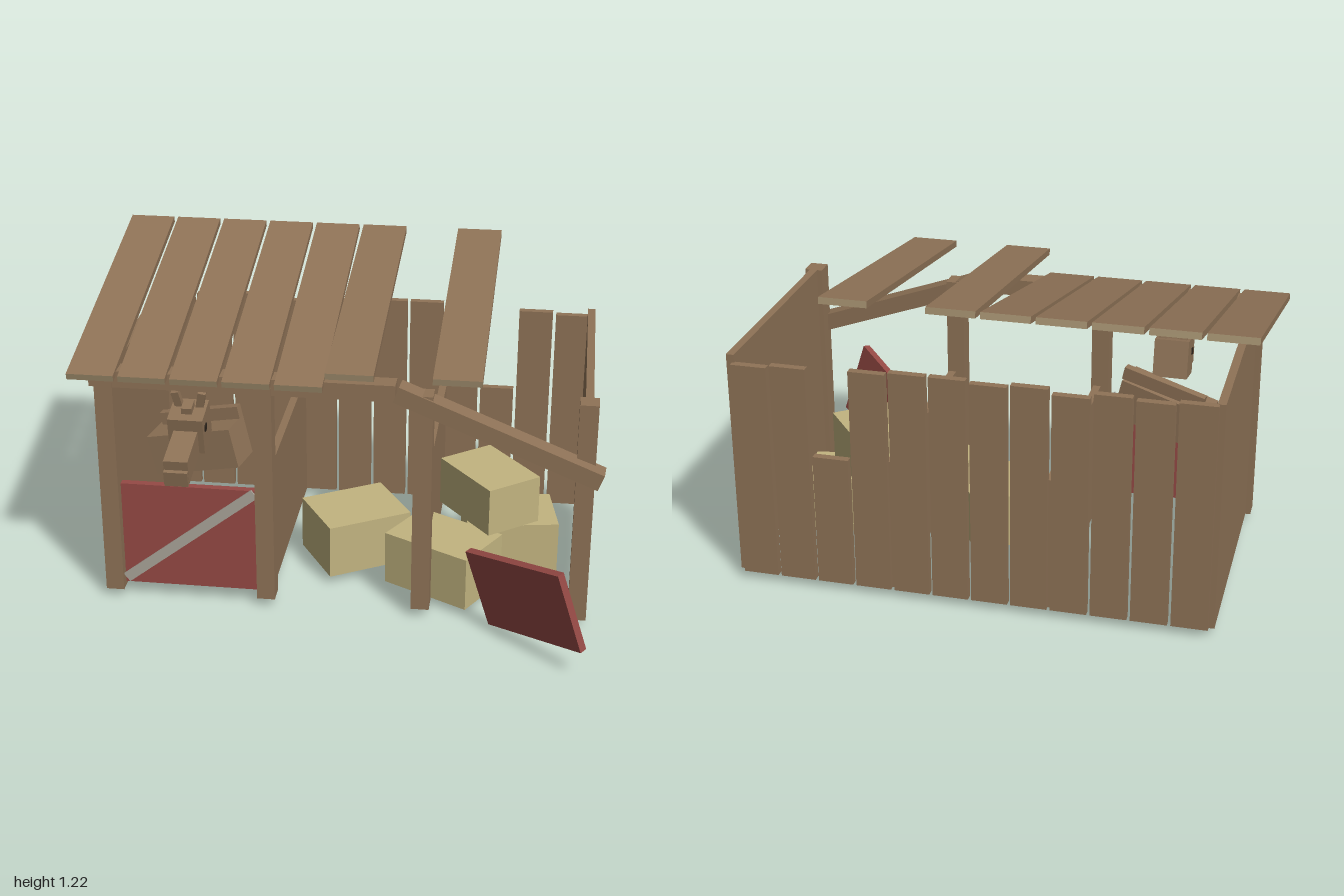
import * as THREE from 'three';

const mat = (name, color) => {
  const m = new THREE.MeshStandardMaterial({ color });
  m.name = name;
  return m;
};

export function createModel() {
  const model = new THREE.Group();
  model.name = 'stable';
  const wood = mat('wood', 0x8f7357);
  const cutWood = mat('cutWood', 0xa3906f);
  const red = mat('redPaint', 0x964a45);
  const hay = mat('hay', 0xc2b480);
  const metal = mat('paleBrace', 0xaaa59a);
  const dark = mat('darkEye', 0x2c241c);

  // Box by centre and size
  const box = (name, m, [x, y, z], [w, h, d], parent = model) => {
    const mesh = new THREE.Mesh(new THREE.BoxGeometry(w, h, d), m);
    mesh.name = name;
    mesh.position.set(x, y, z);
    parent.add(mesh);
    return mesh;
  };
  // Box running lengthwise (its z) from point a to point b
  const beam = (name, m, a, b, w, h, parent = model) => {
    const p = new THREE.Vector3(...a), q = new THREE.Vector3(...b);
    const mid = p.clone().add(q).multiplyScalar(0.5);
    const mesh = box(name, m, mid.toArray(), [w, h, p.distanceTo(q)], parent);
    mesh.lookAt(q);
    return mesh;
  };
  const endGrain = [wood, wood, wood, wood, cutWood, cutWood];

  // Front posts
  for (const x of [-0.875, -0.275, 0.325, 0.925]) {
    box('post', wood, [x, 0.483, 0.312], [0.07, 0.896, 0.075]);
  }

  // Side walls and low partitions
  for (const x of [-0.875, 0.925]) {
    box('sideWall', wood, [x, 0.483, -0.17], [0.03, 0.896, 0.9]);
  }
  for (const x of [-0.275, 0.325]) {
    box('partition', wood, [x, 0.3, -0.2], [0.03, 0.53, 0.84]);
  }

  // Back wall planks, one broken off short
  const tops = [0.93, 0.92, 0.93, 0.91, 0.93, 0.92, 0.93, 0.93, 0.92, 0.56, 0.91, 0.9];
  tops.forEach((top, i) => {
    box('backPlank', wood, [-0.8 + i * 0.15, (top + 0.035) / 2, -0.625], [0.137, top - 0.035, 0.03]);
  });

  // Front lintel and its fallen half
  box('lintel', wood, [-0.355, 0.933, 0.308], [1.15, 0.065, 0.075]);
  beam('brokenLintel', endGrain, [0.225, 0.932, 0.312], [0.985, 0.648, 0.367], 0.075, 0.066);

  // Roof planks: five in place, two lifted
  for (let i = 0; i < 8; i++) {
    if (i === 6) continue;
    const x = -0.912 + i * 0.195;
    if (i < 5) beam('roofPlank', endGrain, [x, 1.212, -0.703], [x, 0.953, 0.387], 0.178, 0.025);
    else beam('loosePlank', endGrain, [x, 1.212, -0.703], [x, 1.033, 0.445], 0.178, 0.025);
  }

  // Closed stall door with diagonal brace
  box('stallDoor', red, [-0.573, 0.275, 0.31], [0.525, 0.43, 0.03]);
  beam('doorBrace', metal, [-0.83, 0.08, 0.329], [-0.315, 0.48, 0.329], 0.008, 0.04);

  // Fallen door, set on its own tilted axes
  const u = new THREE.Vector3(0.345, 0.11, 0.335).normalize();
  const n = u.clone().cross(new THREE.Vector3(-0.095, 0.31, 0)).normalize();
  const v = n.clone().cross(u);
  const fallen = box('fallenDoor', red, [0.728, 0.215, 0.527], [0.5, 0.324, 0.03]);
  fallen.quaternion.setFromRotationMatrix(new THREE.Matrix4().makeBasis(u, v, n));

  // Hay bales: x, y, z, length, depth, turn
  const bales = [
    [0.025, 0.145, -0.065, 0.35, 0.29, 0.54],
    [0.395, 0.142, 0.125, 0.376, 0.26, -0.5],
    [0.64, 0.142, -0.11, 0.36, 0.265, 0.17],
    [0.557, 0.347, -0.09, 0.34, 0.24, -0.9],
  ];
  for (const [x, y, z, l, d, turn] of bales) {
    box('hayBale', hay, [x, y, z], [l, y > 0.3 ? 0.195 : 0.216, d]).rotation.y = turn;
  }

  // Horse: neck, head, muzzle, ears and eyes
  const horse = new THREE.Group();
  horse.name = 'horse';
  horse.position.x = -0.573;
  model.add(horse);
  beam('neck', wood, [0, 0.42, -0.02], [0, 0.7, 0.2], 0.15, 0.16, horse);
  beam('mane', wood, [0, 0.54, -0.06], [0, 0.8, 0.15], 0.035, 0.05, horse);
  const head = new THREE.Group();
  head.name = 'head';
  head.position.set(0, 0.715, 0.25);
  head.rotation.x = 0.2;
  horse.add(head);
  box('skull', wood, [0, 0, 0], [0.135, 0.15, 0.14], head);
  box('nose', wood, [0, -0.025, 0.16], [0.092, 0.1, 0.2], head);
  box('muzzle', wood, [0, -0.045, 0.262], [0.09, 0.062, 0.03], head);
  box('forelock', wood, [0, 0.085, 0], [0.04, 0.03, 0.06], head);
  for (const s of [-1, 1]) {
    box('ear', wood, [s * 0.045, 0.1, -0.03], [0.03, 0.075, 0.025], head).rotation.z = -s * 0.2;
    box('eye', dark, [s * 0.069, 0.02, 0.03], [0.006, 0.025, 0.025], head);
  }
  return model;
}
